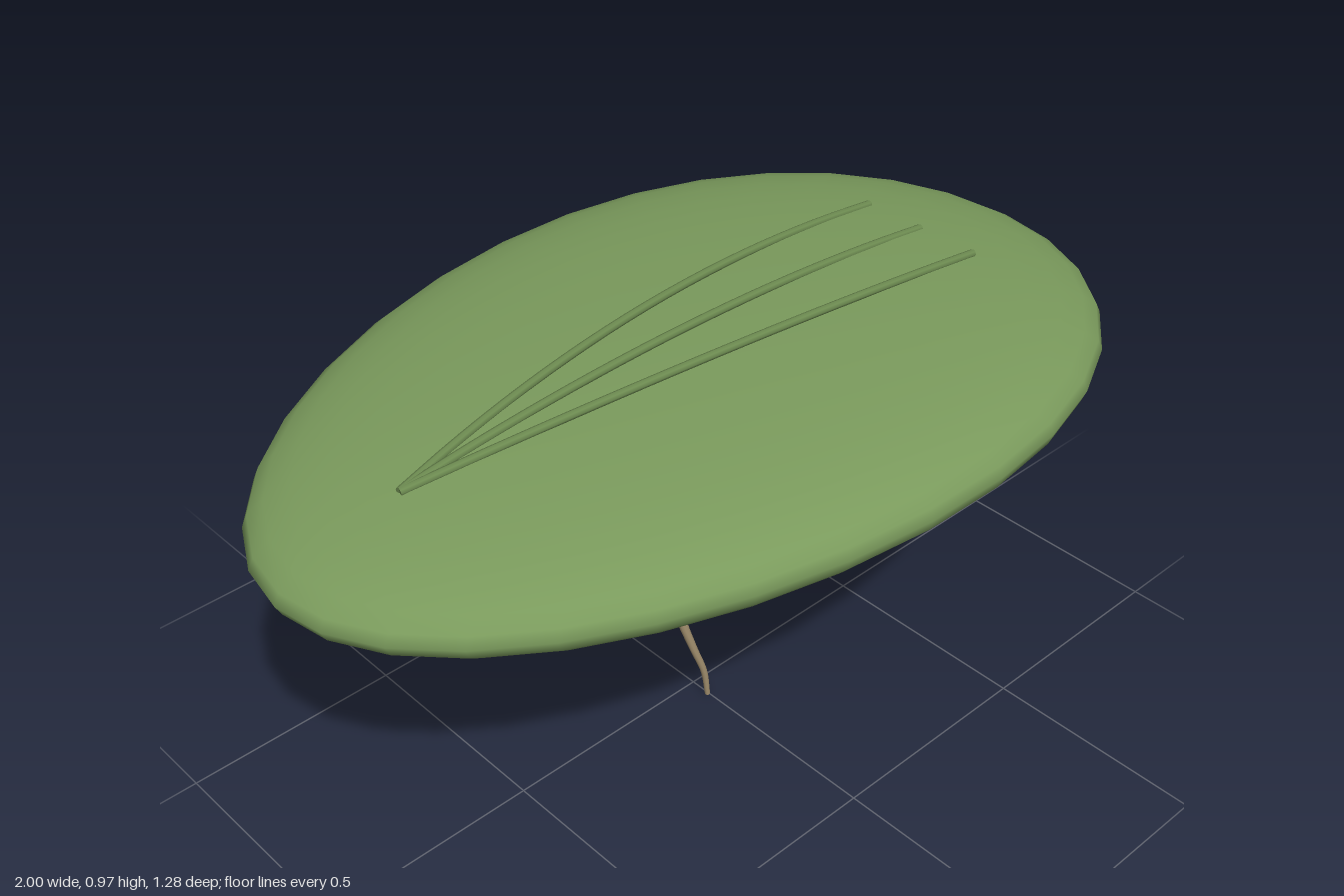
import * as THREE from 'three';
import { mergeVertices } from 'three/addons/utils/BufferGeometryUtils.js';

const V = (x, y, z) => new THREE.Vector3(x, y, z);

// Tube whose radius follows radiusAt(u), closed by end caps.
function taperedTube(curve, segments, sides, radiusAt) {
  const g = new THREE.TubeGeometry(curve, segments, 1, sides, false);
  const p = g.attributes.position;
  const centre = V(0, 0, 0), v = V(0, 0, 0);
  for (let i = 0; i <= segments; i++) {
    curve.getPointAt(i / segments, centre);
    for (let j = 0; j <= sides; j++) {
      const k = i * (sides + 1) + j;
      v.fromBufferAttribute(p, k).sub(centre).multiplyScalar(radiusAt(i / segments)).add(centre);
      p.setXYZ(k, v.x, v.y, v.z);
    }
  }
  return g;
}

function addTube(group, name, curve, segments, sides, radiusAt, material) {
  const part = new THREE.Group();
  part.name = name;
  part.add(new THREE.Mesh(taperedTube(curve, segments, sides, radiusAt), material));
  for (const u of [0, 1]) {
    const cap = new THREE.Mesh(new THREE.CircleGeometry(radiusAt(u), sides), material);
    const dir = curve.getTangentAt(u).multiplyScalar(u ? 1 : -1);
    cap.position.copy(curve.getPointAt(u));
    cap.quaternion.setFromUnitVectors(V(0, 0, 1), dir);
    cap.name = name + 'Cap';
    part.add(cap);
  }
  group.add(part);
}

// Egg-shaped lens whose sides lift slightly above its two tips.
function frondGeometry() {
  let g = new THREE.SphereGeometry(1, 32, 20);
  const p = g.attributes.position;
  for (let i = 0; i < p.count; i++) {
    const x = p.getX(i), y = p.getY(i), z = p.getZ(i);
    const lift = 0.01 * x * x + 0.04 * z * z - 0.011 * z * Math.hypot(x, z);
    p.setXYZ(i, x, 0.8 + 0.155 * y + lift, 0.64 * z * (1 + 0.11 * x));
  }
  g.deleteAttribute('uv');
  g.deleteAttribute('normal');
  g = mergeVertices(g, 1e-5);
  g.computeVertexNormals();
  return g;
}

export function createModel() {
  const model = new THREE.Group();
  model.name = 'floatingLeafPlant';
  const leafGreen = new THREE.MeshStandardMaterial({ color: 0x7a9a5c });
  leafGreen.name = 'leafGreen';
  const veinGreen = new THREE.MeshStandardMaterial({ color: 0x6c8a50 });
  veinGreen.name = 'veinGreen';
  const rootTan = new THREE.MeshStandardMaterial({ color: 0x9c8a6a });
  rootTan.name = 'rootTan';

  // Thick leaf body
  const frond = new THREE.Mesh(frondGeometry(), leafGreen);
  frond.name = 'frond';
  model.add(frond);

  // Three raised veins fanning out from one tip
  [['leftVein', 0.15], ['middleVein', 0], ['rightVein', -0.15]].forEach(([name, spread]) => {
    const points = [];
    for (let i = 0; i <= 10; i++) {
      const u = i / 10, x = -0.72 + 1.4 * u;
      points.push(V(x, 0.962 - 0.046 * ((x + 0.02) / 0.7) ** 2, spread * (1 - (1 - u) ** 2)));
    }
    addTube(model, name, new THREE.CatmullRomCurve3(points), 24, 8, () => 0.009, veinGreen);
  });

  // Wavy hanging root, pinched just below the leaf
  const rootCurve = new THREE.CatmullRomCurve3([
    V(0.01, 0.7, 0), V(0.028, 0.64, -0.005), V(0.05, 0.55, -0.012), V(0.038, 0.47, -0.018),
    V(0, 0.39, -0.018), V(-0.042, 0.31, -0.006), V(-0.05, 0.24, 0.01),
    V(-0.032, 0.15, 0.03), V(-0.01, 0.07, 0.045), V(-0.003, 0.001, 0.05),
  ]);
  const rootRadius = (u) =>
    (0.022 - 0.016 * u) * (1 - 0.4 * Math.exp(-(((u - 0.215) / 0.022) ** 2)));
  addTube(model, 'root', rootCurve, 64, 10, rootRadius, rootTan);

  return model;
}
